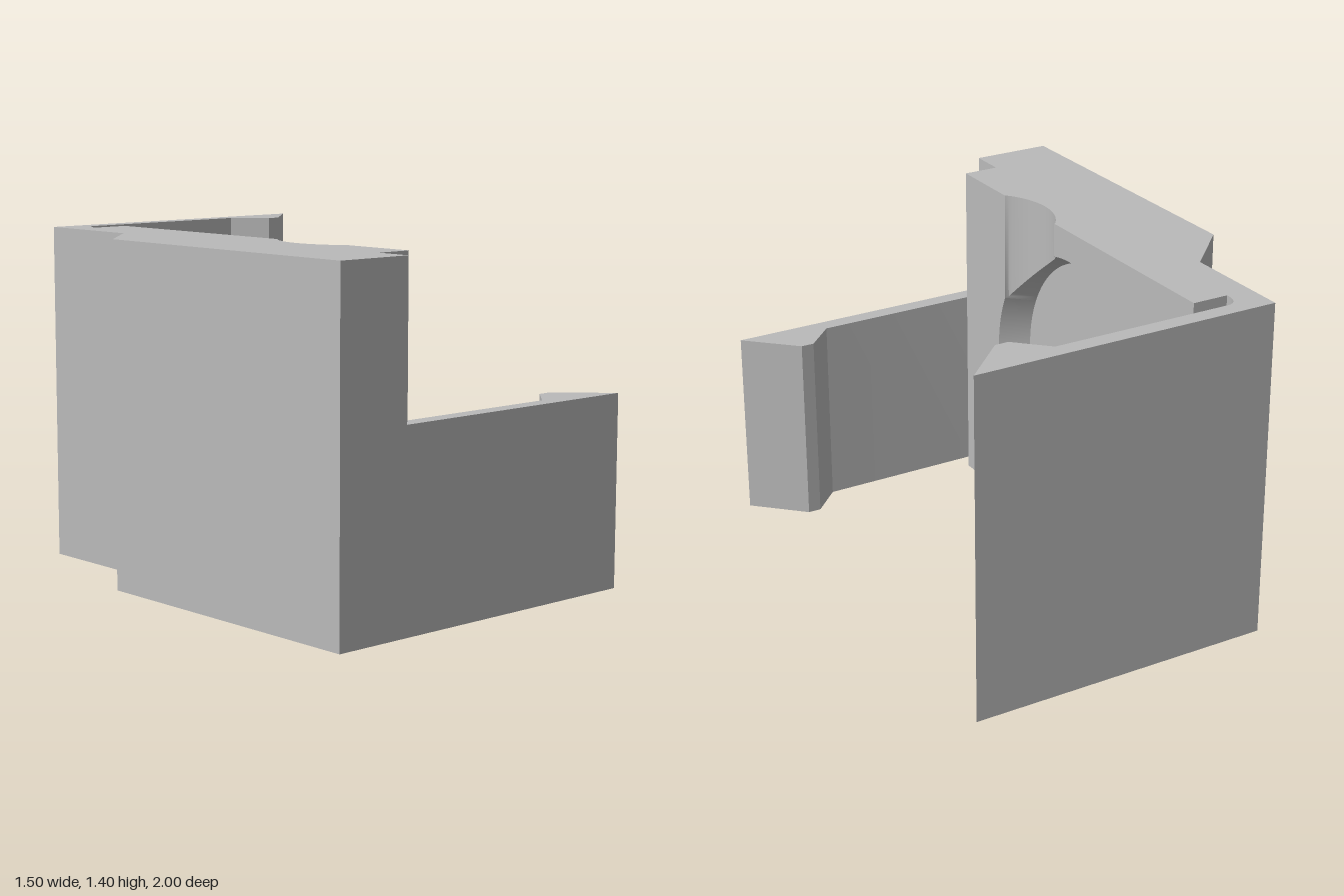
import * as THREE from 'three';
import { toCreasedNormals } from 'three/addons/utils/BufferGeometryUtils.js';

const HEIGHT = 1.4, MID = 0.7;
const FACE = -0.27, FLOOR = -0.395, END = 0.85;      // pad face, recess floor, pad half width
const RIM = 0.573, FLOOR_R = 0.52;                   // tapered round recess
const GROOVE = { x: -0.039, z: 0.325, r: 0.306, half: 0.195 };

// Plan outline given as (x, z), raised from y = 0
function raise(shape, height) {
  const g = new THREE.ExtrudeGeometry(shape, { depth: height, bevelEnabled: false, curveSegments: 10 });
  g.rotateX(-Math.PI / 2);
  return toCreasedNormals(g, 0.5);
}

function outline(points) {
  return new THREE.Shape(points.map(([x, z]) => new THREE.Vector2(x, -z)));
}

// Clip arm with a hooked tip and a rounded inner root; side is the sign of z
function armShape(side, root) {
  const s = new THREE.Shape();
  const to = (x, z) => s.lineTo(x, -z * side);
  s.moveTo(root, -side);
  to(0.75, 1);
  to(0.555, 0.81);
  to(0.5, 0.81);
  to(0.38, 0.93);
  to(-0.365, 0.93);
  s.quadraticCurveTo(-0.41, -0.93 * side, -0.42, -0.87 * side);
  to(-0.42, 0.85);
  if (root < -0.42) to(root, 0.85);
  return s;
}

// Surface depth of the pad, with the vertical round groove
function padX(z) {
  const d = z - GROOVE.z;
  if (Math.abs(d) >= GROOVE.half) return FACE;
  return Math.min(FACE, GROOVE.x - Math.sqrt(GROOVE.r ** 2 - d * d));
}

// Pad in narrow columns, each open where the tapered recess cuts it
function padGeometry() {
  const pos = [];
  const quad = (a, b, c, d) => pos.push(...a, ...b, ...c, ...a, ...c, ...d);
  const flip = (a, b, c, d) => quad(d, c, b, a);

  const zs = [-END, END, GROOVE.z - GROOVE.half, GROOVE.z + GROOVE.half];
  for (let i = 0; i <= 80; i++) zs.push(-RIM * Math.cos((i / 80) * Math.PI));
  zs.sort((a, b) => a - b);

  const columns = zs.map((z) => {
    const x = padX(z);
    const r = RIM - (RIM - FLOOR_R) * (FACE - x) / (FACE - FLOOR);
    return { z, x, r, h: Math.sqrt(Math.max(0, r * r - z * z)) };
  });

  for (let i = 0; i < columns.length - 1; i++) {
    const p = columns[i], q = columns[i + 1];
    const at = (c, y) => [c.x, y, c.z];
    const back = (c, y) => [FLOOR, y, c.z];
    // Face below and above the recess
    quad(at(p, 0), at(p, MID - p.h), at(q, MID - q.h), at(q, 0));
    quad(at(p, MID + p.h), at(p, HEIGHT), at(q, HEIGHT), at(q, MID + q.h));
    // Top and bottom
    quad(back(p, HEIGHT), back(q, HEIGHT), at(q, HEIGHT), at(p, HEIGHT));
    flip(back(p, 0), back(q, 0), at(q, 0), at(p, 0));
    // Tapered recess wall
    if (p.h > 0 || q.h > 0) {
      const foot = (c, s) => [FLOOR, MID + s * FLOOR_R * c.h / c.r, FLOOR_R * c.z / c.r];
      quad(foot(p, 1), at(p, MID + p.h), at(q, MID + q.h), foot(q, 1));
      flip(foot(p, -1), at(p, MID - p.h), at(q, MID - q.h), foot(q, -1));
    }
  }

  // Ends facing the slots
  const end = (z) => [[FLOOR, 0, z], [FACE, 0, z], [FACE, HEIGHT, z], [FLOOR, HEIGHT, z]];
  quad(...end(END));
  flip(...end(-END));

  const g = new THREE.BufferGeometry();
  g.setAttribute('position', new THREE.Float32BufferAttribute(pos, 3));
  return toCreasedNormals(g, 0.5);
}

export function createModel() {
  const group = new THREE.Group();
  const grey = new THREE.MeshStandardMaterial({ color: 0xbababa });
  grey.name = 'light grey';

  const add = (name, geometry) => {
    const mesh = new THREE.Mesh(geometry, grey);
    mesh.name = name;
    group.add(mesh);
  };

  // Stepped back wall; its inner face is the recess floor
  add('backWall', raise(outline([
    [-0.75, 1], [-0.42, 1], [-0.42, END], [FLOOR, END], [FLOOR, -END],
    [-0.53, -END], [-0.53, -0.52], [-0.75, -0.3],
  ]), HEIGHT));
  add('recessedPad', padGeometry());

  // Full-height rear arm and shorter front arm
  add('rearArm', raise(armShape(-1, -0.53), HEIGHT));
  add('frontArm', raise(armShape(1, -0.42), 0.79));

  return group;
}
